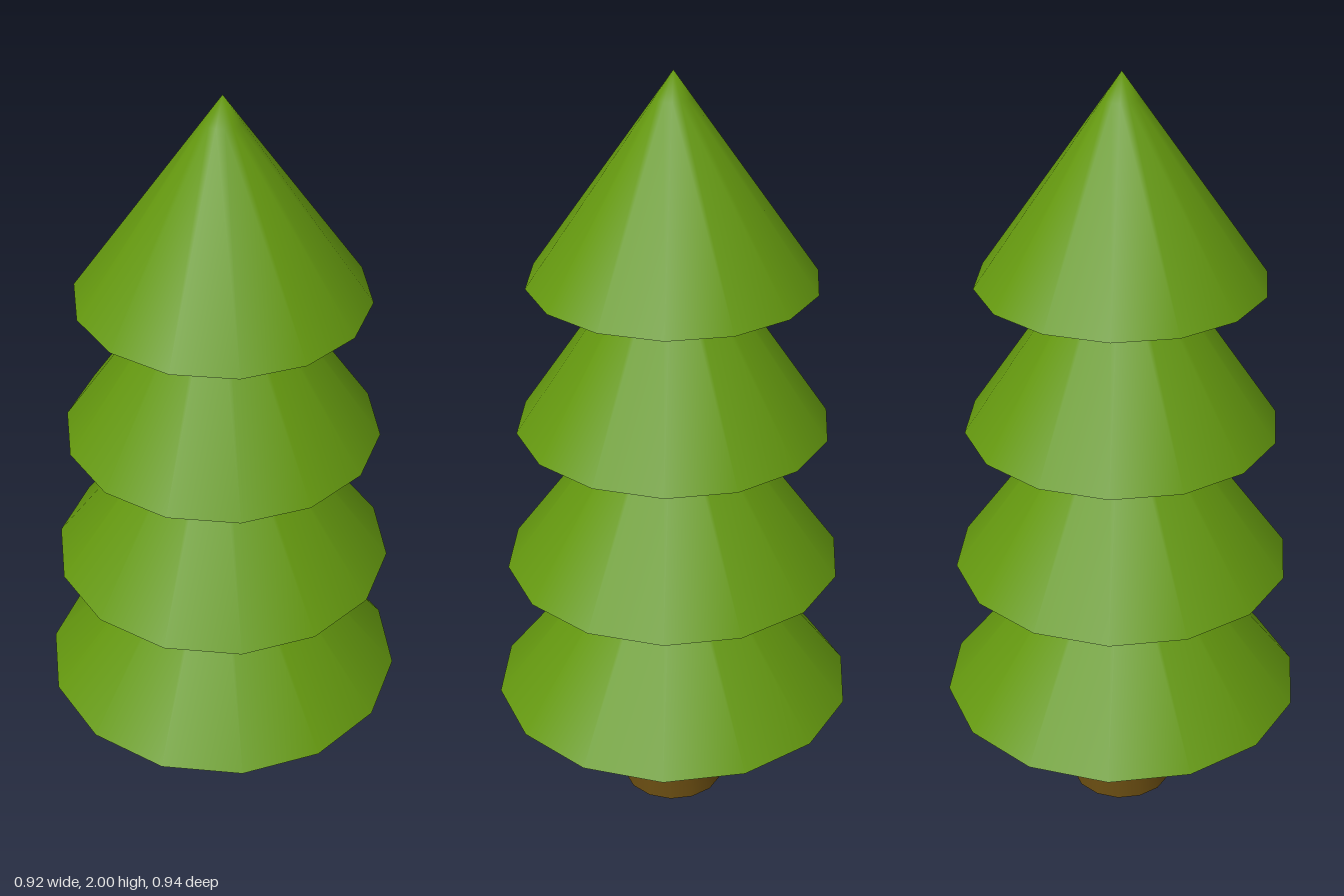
import * as THREE from 'three';

const SIDES = 14;

// Smooth 14-sided lathe from [radius, height] pairs
function lathe(pairs) {
  return new THREE.LatheGeometry(pairs.map(([r, y]) => new THREE.Vector2(r, y)), SIDES);
}

export function createModel() {
  const tree = new THREE.Group();
  tree.name = 'pineTree';

  const needles = new THREE.MeshStandardMaterial({ color: 0x64980f });
  needles.name = 'needleGreen';
  const bark = new THREE.MeshStandardMaterial({ color: 0x664a10 });
  bark.name = 'barkBrown';

  // Tapered trunk reaching up into the lowest tier
  const trunk = new THREE.Mesh(new THREE.CylinderGeometry(0.077, 0.135, 0.475, SIDES), bark);
  trunk.name = 'trunk';
  trunk.position.y = 0.475 / 2;
  tree.add(trunk);

  // Foliage tiers: base height, rim radius, cone height
  const tiers = [
    [0.324, 0.47, 0.605],
    [0.71, 0.433, 0.598],
    [1.097, 0.396, 0.59],
    [1.483, 0.36, 0.517],
  ];
  const hollow = 0.155;

  tiers.forEach(([y, radius, height], i) => {
    const tier = new THREE.Group();
    tier.name = `foliageTier${i + 1}`;
    tier.position.y = y;

    // Outer cone, with a small softly shaded tip
    const tip = 0.045;
    const coneGeo = lathe([[radius, 0], [tip, height * (1 - tip / radius)], [0, height]]);
    const normal = coneGeo.attributes.normal;
    for (let k = 2; k < normal.count; k += 3) normal.setXYZ(k, 0, 1, 0);
    const cone = new THREE.Mesh(coneGeo, needles);
    cone.name = 'branches';

    // Shallow hollow underneath
    const underside = new THREE.Mesh(lathe([[0, hollow], [radius, 0]]), needles);
    underside.name = 'underside';

    tier.add(cone, underside);
    tree.add(tier);
  });

  return tree;
}
